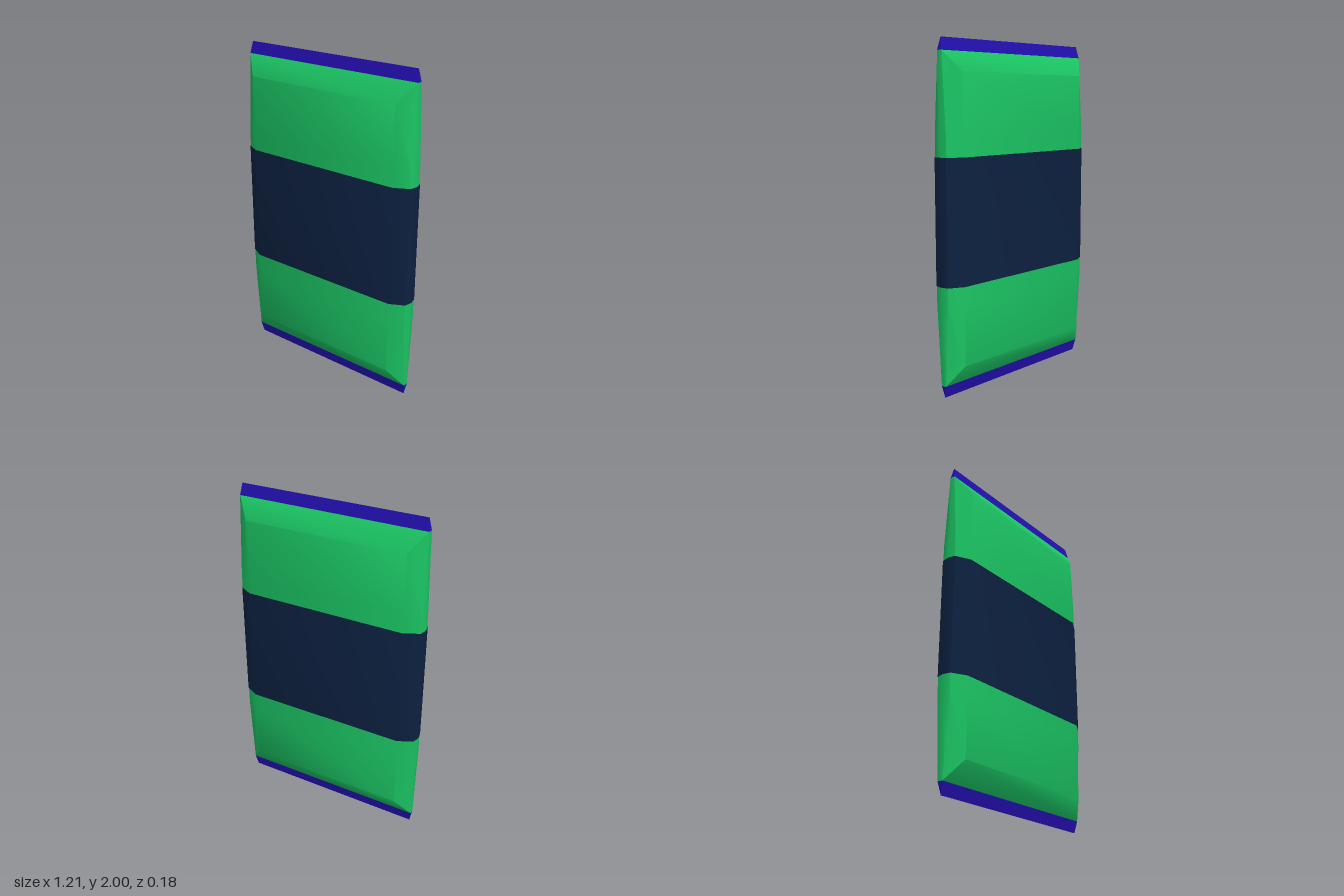
import * as THREE from 'three';
import { toCreasedNormals } from 'three/addons/utils/BufferGeometryUtils.js';

// Ring: y height, f/zf = corner of the broad face, e/ze = side edge, m = side ridge
function ring({ y, f, zf, e, ze, m }) {
  const half = [[f, zf], [e, ze], [m, 0], [e, -ze], [f, -zf]];
  return [...half, ...half.map(([x, z]) => [-x, -z])].map(([x, z]) => [x, y, z]);
}

// Skin stacked rings, listed from bottom to top
function loft(sections) {
  const rings = sections.map(ring);
  const pos = [];
  const same = (p, q) => p.every((v, k) => v === q[k]);
  const tri = (a, b, c) => {
    if (!same(a, b) && !same(b, c) && !same(a, c)) pos.push(...a, ...b, ...c);
  };
  for (let i = 0; i < rings.length - 1; i++) {
    const lo = rings[i], hi = rings[i + 1];
    for (let j = 0; j < lo.length; j++) {
      const k = (j + 1) % lo.length;
      tri(lo[j], lo[k], hi[j]);
      tri(lo[k], hi[k], hi[j]);
    }
  }
  const geo = new THREE.BufferGeometry();
  geo.setAttribute('position', new THREE.Float32BufferAttribute(pos, 3));
  return toCreasedNormals(geo, 0.73);
}

export function createModel() {
  const group = new THREE.Group();
  const add = (name, sections, color) => {
    const mat = new THREE.MeshStandardMaterial({ color, side: THREE.DoubleSide });
    const mesh = new THREE.Mesh(loft(sections), mat);
    mesh.name = name;
    group.add(mesh);
  };
  const flip = (s) => ({ ...s, y: 2 - s.y });

  const full = { f: 0.505, zf: 0.09, e: 0.59, ze: 0.045, m: 0.6 };
  const seam = { y: 1.93, f: 0.59, zf: 0.016, e: 0.59, ze: 0.016, m: 0.592 };
  const shoulder = { y: 1.815, f: 0.505, zf: 0.09, e: 0.59, ze: 0.023, m: 0.594 };
  const waist = { y: 1.46, ...full };
  const tip = { y: 2, f: 0.58, zf: 0, e: 0.58, ze: 0, m: 0.58 };

  // Pillow-shaped wrapper, tapering to both seams
  add('wrapperBody', [flip(seam), flip(shoulder), flip(waist), waist, shoulder, seam], 0x1bc564);

  // Thin label sleeve around the middle
  const sleeve = { f: 0.506, zf: 0.092, e: 0.593, ze: 0.046, m: 0.603 };
  add('labelBand', [{ y: 0.643, ...sleeve }, { y: 1.36, ...sleeve }], 0x0d2141);

  // Wedge-shaped sealed ends
  add('topSeal', [seam, tip], 0x230fb0);
  add('bottomSeal', [flip(tip), flip(seam)], 0x230fb0);

  return group;
}
